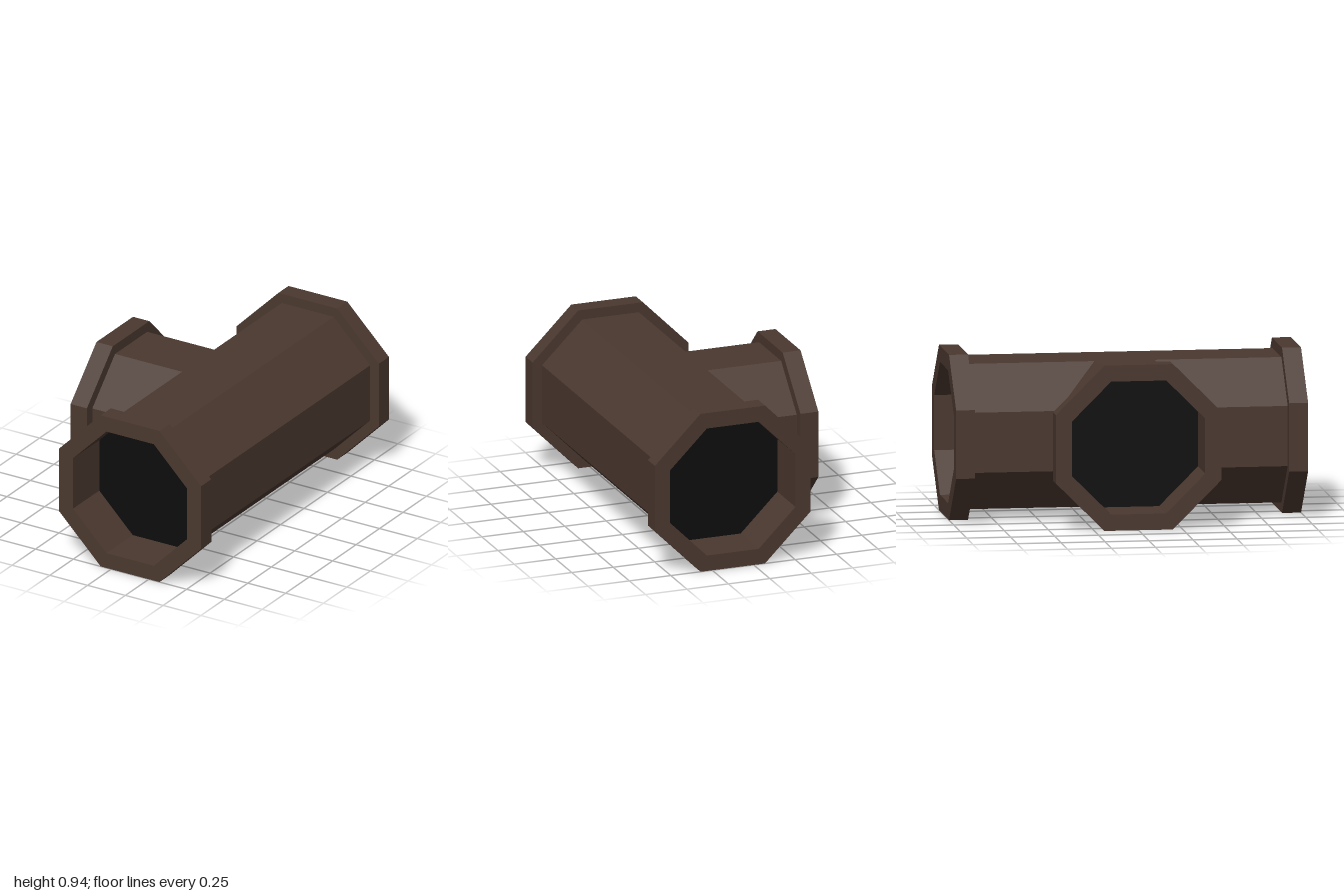
import * as THREE from 'three';

const SIDES = 8;
const BODY = 0.413, FLANGE = 0.47, BORE = 0.378; // flat-to-centre distances
const FLANGE_DEPTH = 0.108, BORE_DEPTH = 0.28;
const toCorner = (flat) => flat / Math.cos(Math.PI / SIDES);

export function createModel() {
  const brown = new THREE.MeshStandardMaterial({ color: 0x4a382f });
  brown.name = 'brown pipe';
  const black = new THREE.MeshStandardMaterial({ color: 0x0d0d0d });
  black.name = 'black opening';

  // Faceted eight-sided ring surface from [flat distance, height] pairs
  const ring = (name, profile) => {
    const points = profile.map(([r, y]) => new THREE.Vector2(toCorner(r), y));
    const geometry = new THREE.LatheGeometry(points, SIDES, Math.PI / SIDES).toNonIndexed();
    geometry.computeVertexNormals();
    const mesh = new THREE.Mesh(geometry, brown);
    mesh.name = name;
    return mesh;
  };

  // One arm pointing up +y: pipe wall, end flange with bore, dark bore end
  const arm = (name, start, end) => {
    const group = new THREE.Group();
    group.name = name;
    const neck = end - FLANGE_DEPTH, floor = end - BORE_DEPTH;
    group.add(ring('pipeWall', [[BODY, start], [BODY, neck]]));
    group.add(ring('flange', [[BODY, neck], [FLANGE, neck], [FLANGE, end], [BORE, end]]));
    group.add(ring('boreWall', [[BORE, end], [BORE, floor]]));

    const disc = new THREE.CircleGeometry(toCorner(BORE), SIDES, Math.PI / SIDES);
    disc.rotateX(-Math.PI / 2);
    const opening = new THREE.Mesh(disc, black);
    opening.name = 'darkOpening';
    opening.position.y = floor;
    group.add(opening);
    return group;
  };

  const model = new THREE.Group();
  model.name = 'pipeTee';

  const front = arm('frontArm', 0, 1);
  front.rotation.x = Math.PI / 2;
  const back = arm('backArm', 0, 1);
  back.rotation.x = -Math.PI / 2;
  // The side branch starts where its top meets the edge of the main pipe
  const branch = arm('sideBranch', BODY * Math.tan(Math.PI / SIDES), 0.723);
  branch.rotation.z = Math.PI / 2;

  for (const part of [front, back, branch]) {
    part.position.set(0.126, FLANGE, 0);
    model.add(part);
  }
  return model;
}
